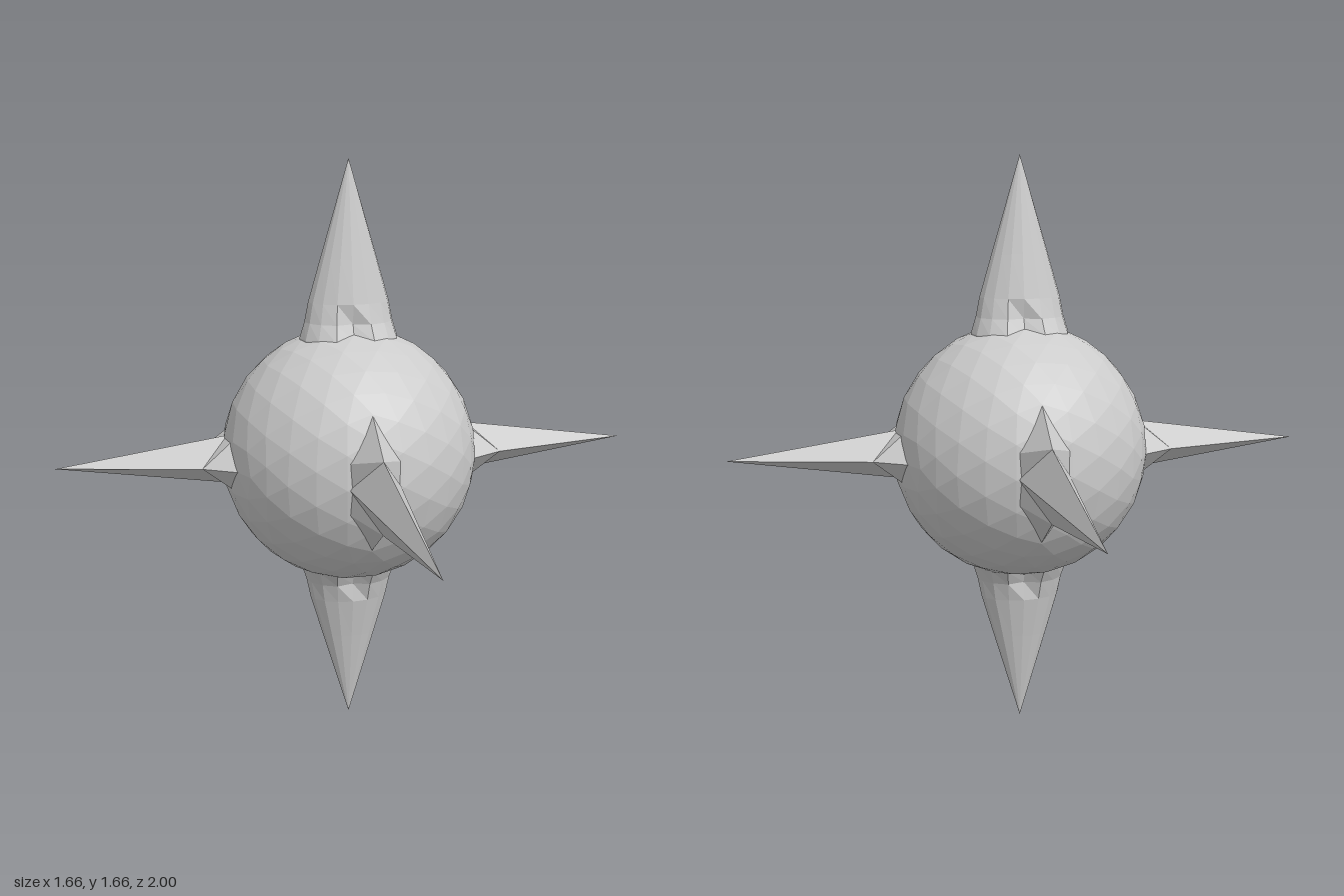
import * as THREE from 'three';

const CENTER_Y = 0.84;
const material = new THREE.MeshStandardMaterial({ color: 0xcccccc, flatShading: true, side: THREE.DoubleSide });

function part(name, geometry) {
  const mesh = new THREE.Mesh(geometry, material);
  mesh.name = name;
  return mesh;
}

// Four-sided spike along +z whose upper and lower ridges flare out onto the ball
function flaredSpike(tip, ridge, ridgeZ, flare, flareZ) {
  const pos = [];
  for (const sx of [1, -1]) {
    for (const sy of [1, -1]) {
      const T = [0, 0, tip];
      const A = [0.07 * sx, 0, 0.35];
      const B = [0.07 * sx, 0.07 * sy, 0.345];
      const U = [0, ridge * sy, ridgeZ];
      const F = [0, flare * sy, flareZ];
      for (const [a, b, c] of [[T, A, U], [A, B, U], [B, F, U]]) {
        pos.push(...a, ...(sx * sy > 0 ? [...b, ...c] : [...c, ...b]));
      }
    }
  }
  const g = new THREE.BufferGeometry();
  g.setAttribute('position', new THREE.Float32BufferAttribute(pos, 3));
  g.computeVertexNormals();
  return g;
}

// Tall spike along +y: a lathe flattened in z, with a notch at front and back of its root
function tallSpike() {
  const rows = [[0.14, 0.31, 0.12], [0.14, 0.34, 0.108], [0.126, 0.385, 0.083],
    [0.115, 0.44, 0.068], [0.08, 0.56, 0.046], [0, 0.83, 0]];
  const g = new THREE.LatheGeometry(rows.map(([r, y]) => new THREE.Vector2(r, y)), 16);
  const p = g.attributes.position;
  for (let i = 0; i < p.count; i++) {
    const [r, y, depth] = rows[i % rows.length];
    if (r === 0) continue;
    const s = p.getX(i) / r;
    const notch = y < 0.4 && Math.abs(s) < 0.2 ? 0.75 : 1;
    p.setZ(i, p.getZ(i) / r * depth * notch);
  }
  g.computeVertexNormals();
  return g;
}

export function createModel() {
  const model = new THREE.Group();
  model.name = 'spikedBall';
  const body = new THREE.Group();
  body.name = 'body';
  body.position.y = CENTER_Y;
  model.add(body);

  body.add(part('ball', new THREE.IcosahedronGeometry(0.365, 4)));

  // Front and back spikes, with vertical ridges
  const longGeo = flaredSpike(1, 0.1, 0.44, 0.2, 0.295);
  const front = part('frontSpike', longGeo);
  const back = part('backSpike', longGeo);
  back.rotation.y = Math.PI;
  body.add(front, back);

  // Side spikes, with horizontal ridges
  const sideGeo = flaredSpike(0.83, 0.085, 0.43, 0.14, 0.33);
  for (const [name, turn] of [['leftSpike', 1], ['rightSpike', -1]]) {
    const spike = part(name, sideGeo);
    spike.rotation.set(0, turn * Math.PI / 2, Math.PI / 2);
    body.add(spike);
  }

  // Top and bottom spikes
  const tallGeo = tallSpike();
  const top = part('topSpike', tallGeo);
  const bottom = part('bottomSpike', tallGeo);
  bottom.rotation.z = Math.PI;
  body.add(top, bottom);

  return model;
}
